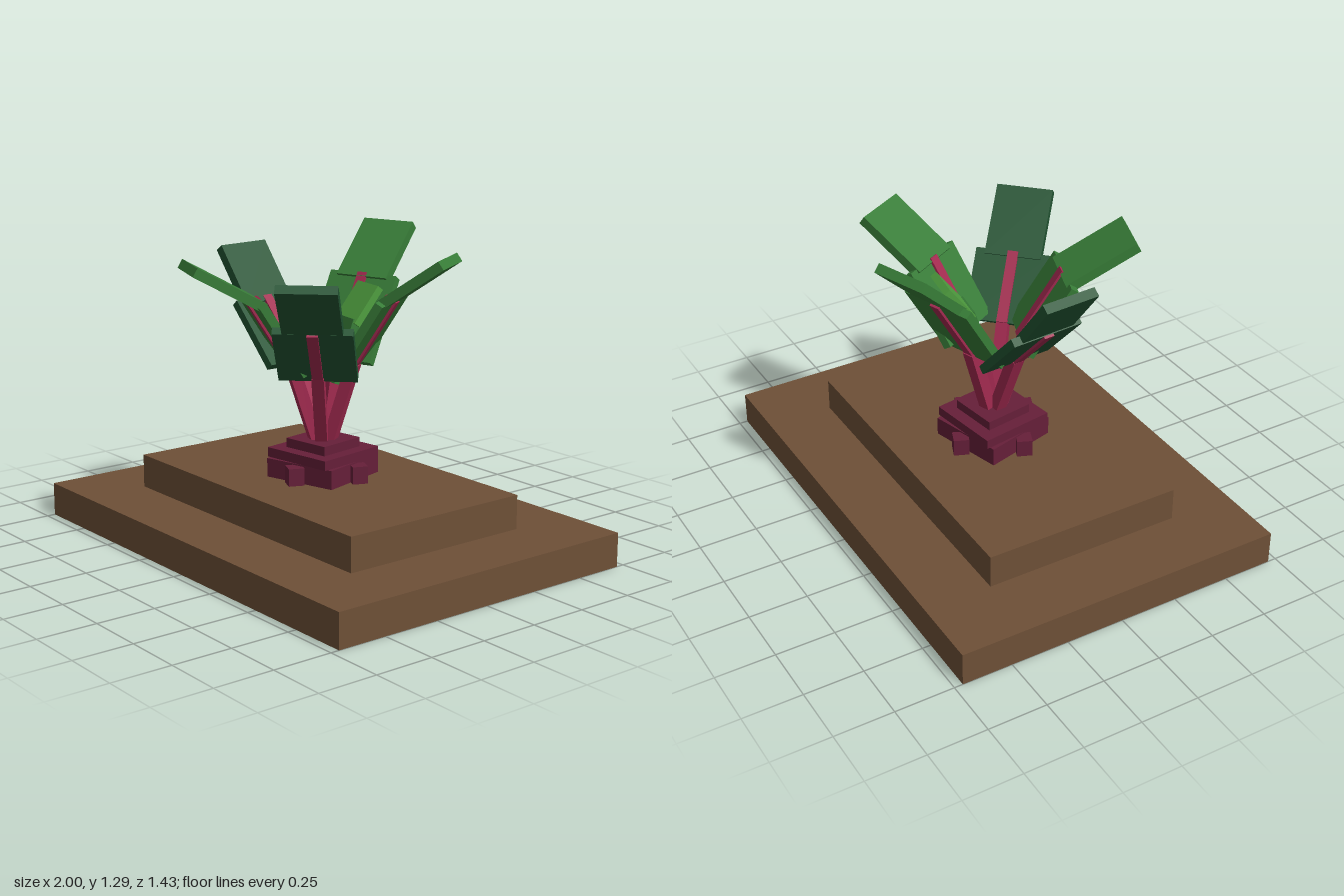
import * as THREE from 'three';

const mat = (name, color) => {
  const m = new THREE.MeshStandardMaterial({ color });
  m.name = name;
  return m;
};

export function createModel() {
  const model = new THREE.Group();
  const soil = mat('soil brown', 0x6e5037);
  const beet = mat('beet purple', 0x661f39);
  const stalk = mat('stalk red', 0xa32a50);
  const dark = mat('deep green', 0x225432);
  const mid = mat('leaf green', 0x387d38);
  const bright = mat('young leaf green', 0x50a040);

  const box = (parent, name, material, size, pos, turn = 0) => {
    const m = new THREE.Mesh(new THREE.BoxGeometry(...size), material);
    m.name = name;
    m.position.set(...pos);
    m.rotation.y = turn;
    parent.add(m);
    return m;
  };

  // Stepped soil bed
  box(model, 'soilBase', soil, [2, 0.143, 1.428], [0, 0.0715, 0]);
  box(model, 'soilStep', soil, [1.428, 0.143, 0.856], [0, 0.2145, 0]);

  // Root: three twisted tiers with a small knob on each side
  box(model, 'rootLower', beet, [0.33, 0.08, 0.33], [0, 0.325, 0], 0.27);
  box(model, 'rootMiddle', beet, [0.324, 0.04, 0.324], [0, 0.385, 0], 0.157);
  box(model, 'rootTop', beet, [0.215, 0.04, 0.215], [0, 0.424, 0], 0.157);
  for (let i = 0; i < 4; i++) {
    const knob = new THREE.Group();
    knob.name = 'rootKnob';
    knob.rotation.y = i * Math.PI / 2;
    box(knob, 'knob', beet, [0.065, 0.074, 0.065], [0.0425, 0.322, 0.18], -0.39);
    model.add(knob);
  }

  // Slab between two [radius, height] points in a leaf's own upright plane
  const slab = (parent, name, material, a, b, width, thick) => {
    const dr = b[0] - a[0], dy = b[1] - a[1];
    const m = box(parent, name, material, [width, Math.hypot(dr, dy), thick],
      [0, (a[1] + b[1]) / 2, (a[0] + b[0]) / 2]);
    m.rotation.x = Math.atan2(dr, dy);
    return m;
  };

  // Leaves: direction in x and z, then blade start, bend and tip
  const leaves = [
    { dir: [-1, 0.07], start: [0.15, 0.74], bend: [0.37, 0.98], tip: [0.52, 1.19], green: dark },
    { dir: [-0.33, 0.94], start: [0.12, 0.75], bend: [0.3, 1.04], tip: [0.565, 1.185], green: mid },
    { dir: [0.69, 0.68], start: [0.16, 0.735], bend: [0.36, 0.965], tip: [0.56, 1.165], green: dark },
    { dir: [0.87, -0.5], start: [0.12, 0.76], bend: [0.3, 1.05], tip: [0.54, 1.215], green: mid },
    { dir: [-0.33, -0.94], start: [0.12, 0.75], bend: [0.33, 1.08], tip: [0.535, 1.275], green: mid },
  ];
  for (const { dir, start, bend, tip, green } of leaves) {
    const leaf = new THREE.Group();
    leaf.name = 'leaf';
    leaf.rotation.y = Math.atan2(dir[0], dir[1]);
    slab(leaf, 'lowerStalk', stalk, [0.025, 0.42], [start[0] + 0.015, start[1] + 0.01], 0.05, 0.05);
    slab(leaf, 'leafRib', stalk, start, bend, 0.045, 0.055);
    slab(leaf, 'lowerBlade', green, start, bend, 0.32, 0.035);
    slab(leaf, 'upperBlade', green, [bend[0] - 0.02, bend[1] - 0.015], tip, 0.24, 0.04);
    model.add(leaf);
  }

  // Small young leaf in the middle
  const young = new THREE.Group();
  young.name = 'youngLeaf';
  young.rotation.y = Math.atan2(0.03, -0.2);
  slab(young, 'youngStalk', stalk, [0, 0.42], [0.06, 0.8], 0.04, 0.04);
  slab(young, 'youngLowerBlade', mid, [0.03, 0.68], [0.12, 0.94], 0.13, 0.03);
  slab(young, 'youngUpperBlade', bright, [0.115, 0.92], [0.225, 1.065], 0.16, 0.03);
  model.add(young);

  return model;
}
